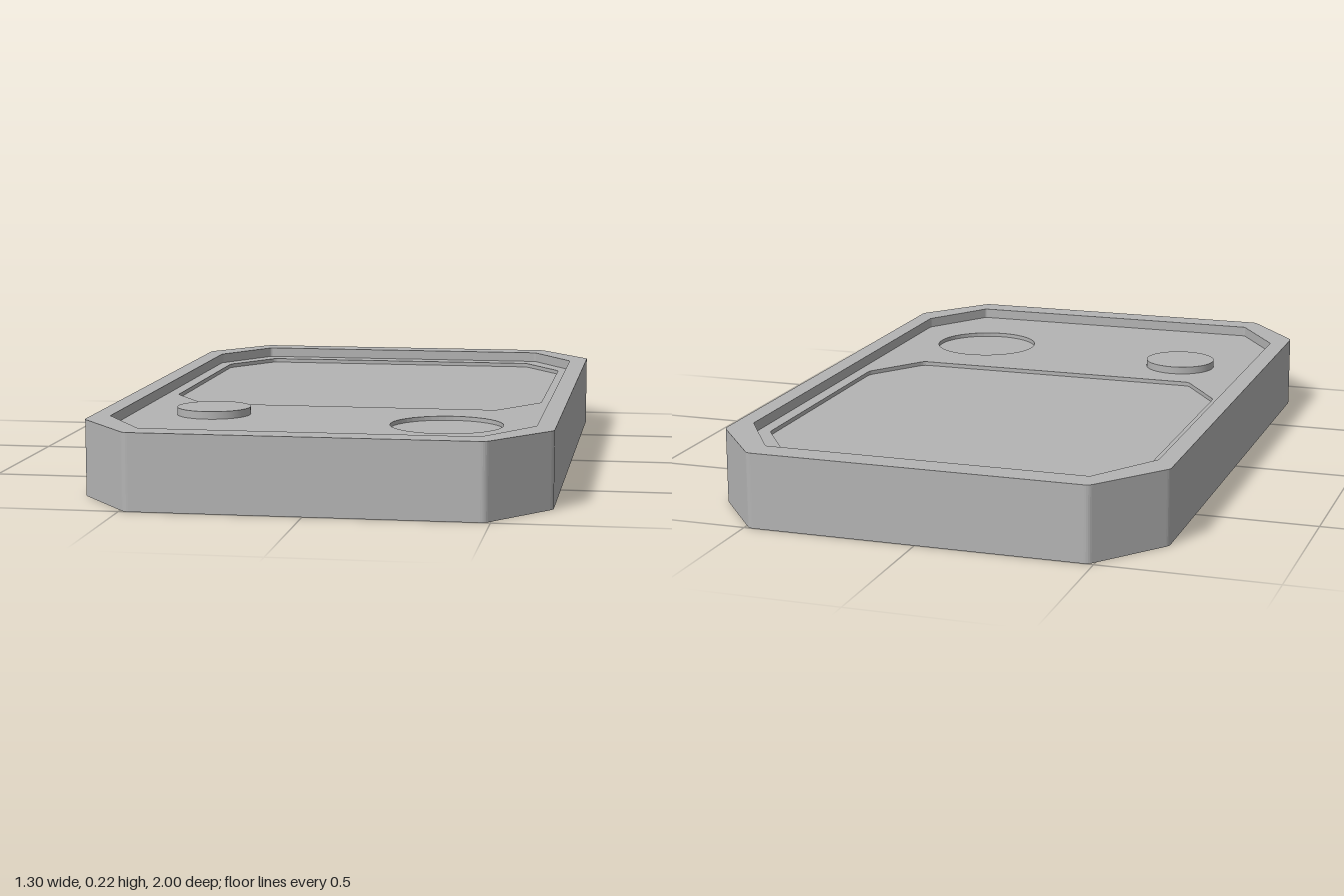
import * as THREE from 'three';

const grey = new THREE.MeshStandardMaterial({ color: 0xb4b4b4 });
grey.name = 'plain grey';

// Octagonal outline with slightly softened corners, symmetric in x, spanning z0..z1.
// cx, cz are the chamfer lengths; the shape's y is -z.
function outline(Type, halfX, z0, z1, cx, cz, r = 0.012) {
  const a = halfX - cx;
  const pts = [
    [halfX, -z1 + cz], [halfX, -z0 - cz], [a, -z0], [-a, -z0],
    [-halfX, -z0 - cz], [-halfX, -z1 + cz], [-a, -z1], [a, -z1],
  ].map(([x, y]) => new THREE.Vector2(x, y));
  const toward = (p, q) => q.clone().sub(p).setLength(r).add(p);
  const path = new Type();
  pts.forEach((p, i) => {
    const before = toward(p, pts[(i + 7) % 8]);
    const after = toward(p, pts[(i + 1) % 8]);
    if (i === 0) path.moveTo(before.x, before.y);
    else path.lineTo(before.x, before.y);
    path.quadraticCurveTo(p.x, p.y, after.x, after.y);
  });
  path.closePath();
  return path;
}

const body = () => outline(THREE.Shape, 0.65, -1, 1, 0.165, 0.21);

// Flat layer from height y0 to y1, with optional openings
function layer(name, shape, y0, y1, holes = []) {
  shape.holes.push(...holes);
  const geometry = new THREE.ExtrudeGeometry(shape, {
    depth: y1 - y0, bevelEnabled: false, curveSegments: 4,
  });
  geometry.rotateX(-Math.PI / 2);
  geometry.translate(0, y0, 0);
  const mesh = new THREE.Mesh(geometry, grey);
  mesh.name = name;
  return mesh;
}

// Many-sided round opening
function roundHole(x, z, r) {
  const pts = [];
  for (let i = 0; i < 48; i++) {
    const t = (i / 48) * Math.PI * 2;
    pts.push(new THREE.Vector2(x + r * Math.cos(t), -z + r * Math.sin(t)));
  }
  return new THREE.Path(pts);
}

export function createModel() {
  const group = new THREE.Group();
  group.name = 'handheldPanel';
  const floor = 0.185;

  // Solid case; its top is the bottom of the shallow pockets
  group.add(layer('case', body(), 0, floor - 0.012));

  // Face plate with the screen pocket and the round dial pocket
  group.add(layer('facePlate', body(), floor - 0.012, floor, [
    outline(THREE.Path, 0.56, -0.86, 0.24, 0.12, 0.175),
    roundHole(0.33, 0.54, 0.16),
  ]));

  // Raised rim around the face
  group.add(layer('rim', body(), floor, 0.215, [
    outline(THREE.Path, 0.597, -0.92, 0.92, 0.132, 0.205, 0.006),
  ]));

  // Raised round button
  const button = new THREE.Mesh(new THREE.CylinderGeometry(0.107, 0.107, 0.022, 48), grey);
  button.name = 'button';
  button.position.set(-0.362, floor + 0.011, 0.44);
  group.add(button);

  return group;
}
